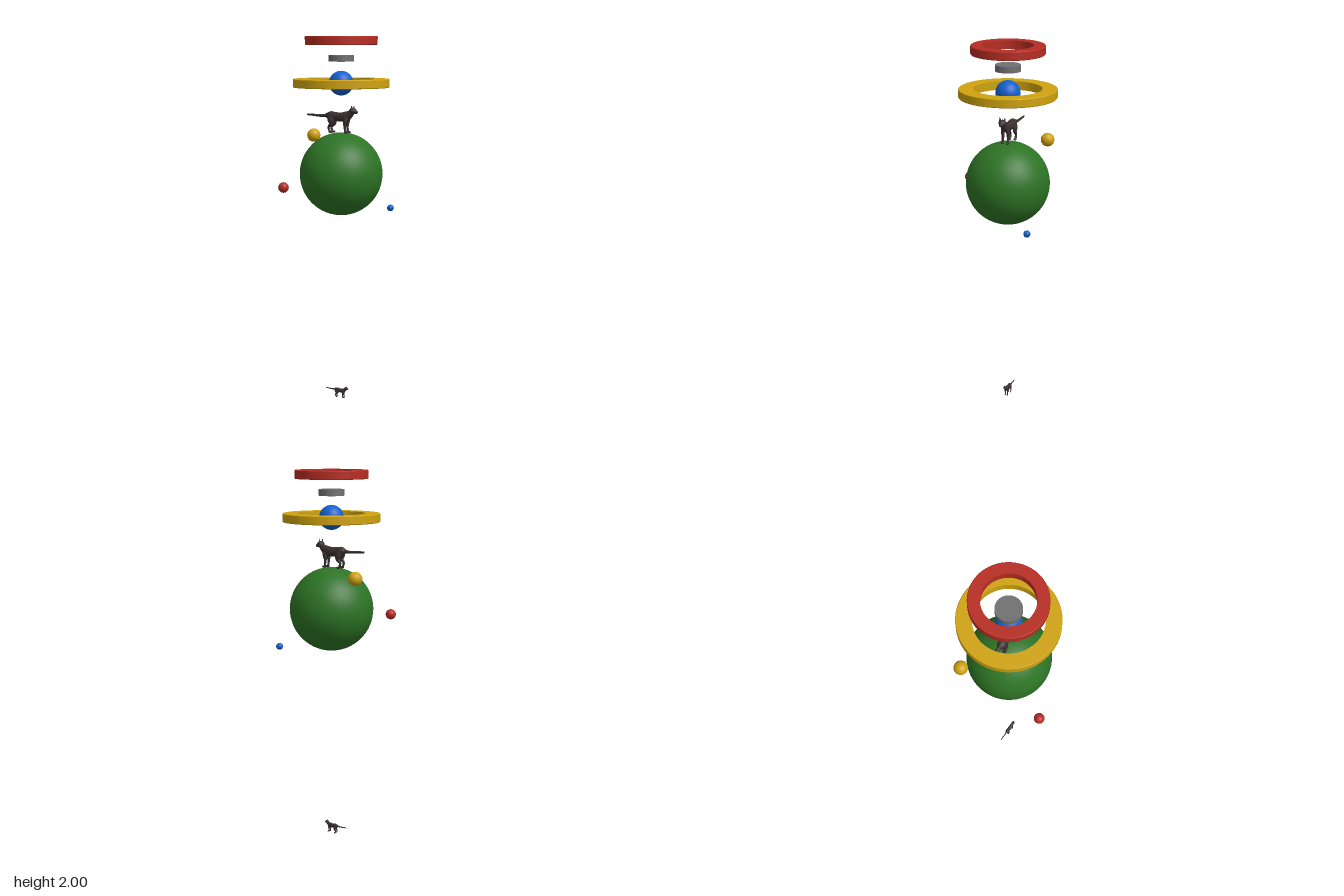
import * as THREE from 'three';
import { toCreasedNormals } from 'three/addons/utils/BufferGeometryUtils.js';

const mat = (name, color) => {
  const m = new THREE.MeshStandardMaterial({ color });
  m.name = name;
  return m;
};

// Smooth limb through sections [x, y, z, radius in the xy plane, radius along z]
function loft(sections, steps = 24, sides = 16) {
  const centre = new THREE.CatmullRomCurve3(sections.map(s => new THREE.Vector3(s[0], s[1], s[2])), false, 'catmullrom', 0.5);
  const radii = new THREE.CatmullRomCurve3(sections.map(s => new THREE.Vector3(s[3], s[4], 0)), false, 'catmullrom', 0.5);
  const pos = [], index = [];
  for (let i = 0; i <= steps; i++) {
    const c = centre.getPoint(i / steps), r = radii.getPoint(i / steps), t = centre.getTangent(i / steps);
    const len = Math.hypot(t.x, t.y) || 1;
    const nx = -t.y / len, ny = t.x / len;
    for (let j = 0; j < sides; j++) {
      const a = j / sides * Math.PI * 2;
      const u = Math.max(r.x, 0.0003) * Math.cos(a), w = Math.max(r.y, 0.0003) * Math.sin(a);
      pos.push(c.x + nx * u, c.y + ny * u, c.z + w);
      if (i < steps) {
        const k = (j + 1) % sides, p = i * sides, q = p + sides;
        index.push(p + j, p + k, q + j, p + k, q + k, q + j);
      }
    }
  }
  const geo = new THREE.BufferGeometry();
  geo.setAttribute('position', new THREE.Float32BufferAttribute(pos, 3));
  geo.setIndex(index);
  geo.computeVertexNormals();
  return geo;
}

// Flat ring with slightly softened edges; inner radius 0 gives a disc
function ringGeometry(inner, outer, height) {
  const h = height / 2, b = 0.003;
  const pts = inner > 0
    ? [[inner, -h], [outer - b, -h], [outer, -h + b], [outer, h - b], [outer - b, h], [inner, h], [inner, -h]]
    : [[0, -h], [outer, -h], [outer, h], [0, h]];
  return toCreasedNormals(new THREE.LatheGeometry(pts.map(p => new THREE.Vector2(...p)), 96), 0.5);
}

function createCat(name, material) {
  const cat = new THREE.Group();
  cat.name = name;
  const add = (part, geo) => {
    const m = new THREE.Mesh(geo, material);
    m.name = part;
    cat.add(m);
    return m;
  };

  // Trunk, rising into the neck
  add('body', loft([
    [-0.094, 0.094, 0, 0.001, 0.001], [-0.088, 0.094, 0, 0.014, 0.013],
    [-0.066, 0.092, 0, 0.025, 0.023], [-0.035, 0.089, 0, 0.024, 0.023],
    [0.000, 0.087, 0, 0.025, 0.024], [0.030, 0.091, 0, 0.027, 0.022],
    [0.052, 0.103, 0, 0.021, 0.017], [0.068, 0.116, 0, 0.014, 0.014], [0.074, 0.120, 0, 0.002, 0.002],
  ], 36));
  // Head with tapered muzzle
  add('head', loft([
    [0.052, 0.122, 0, 0.001, 0.001], [0.056, 0.122, 0, 0.012, 0.013], [0.068, 0.122, 0, 0.018, 0.021],
    [0.080, 0.120, 0, 0.016, 0.019], [0.090, 0.116, 0, 0.010, 0.011],
    [0.098, 0.114, 0, 0.007, 0.008], [0.101, 0.114, 0, 0.001, 0.001],
  ]));
  // Tail held out behind
  add('tail', loft([
    [-0.076, 0.098, 0, 0.013, 0.013], [-0.100, 0.093, 0, 0.009, 0.009], [-0.130, 0.091, 0, 0.007, 0.007],
    [-0.175, 0.094, 0, 0.006, 0.006], [-0.210, 0.096, 0, 0.005, 0.005], [-0.214, 0.096, 0, 0.001, 0.001],
  ]));

  for (const [side, s] of [['left', -1], ['right', 1]]) {
    const ear = add(side + 'Ear', new THREE.ConeGeometry(0.009, 0.026, 12));
    ear.scale.x = 0.65;
    ear.position.set(0.071, 0.141, s * 0.013);
    ear.rotation.x = s * 0.12;

    add(side + 'FrontLeg', loft([
      [0.034, 0.098, s * 0.011, 0.012, 0.009], [0.033, 0.070, s * 0.015, 0.013, 0.010],
      [0.030, 0.045, s * 0.015, 0.008, 0.008], [0.032, 0.020, s * 0.015, 0.006, 0.006],
      [0.033, 0.006, s * 0.015, 0.007, 0.007], [0.034, 0.001, s * 0.015, 0.002, 0.002],
    ]));
    add(side + 'HindLeg', loft([
      [-0.064, 0.098, s * 0.012, 0.016, 0.010], [-0.056, 0.072, s * 0.016, 0.019, 0.012],
      [-0.054, 0.050, s * 0.017, 0.012, 0.009], [-0.069, 0.032, s * 0.016, 0.007, 0.006],
      [-0.065, 0.014, s * 0.016, 0.006, 0.006], [-0.061, 0.005, s * 0.016, 0.007, 0.007],
      [-0.060, 0.001, s * 0.016, 0.002, 0.002],
    ]));
    // Paws
    for (const [end, x] of [['Front', 0.039], ['Hind', -0.056]]) {
      const paw = add(side + end + 'Paw', new THREE.SphereGeometry(1, 12, 8));
      paw.scale.set(0.012, 0.006, 0.008);
      paw.position.set(x, 0.006, s * 0.0155);
    }
  }
  return cat;
}

export function createModel() {
  const model = new THREE.Group();
  model.name = 'floatingSpheresAndCats';
  const red = mat('red', 0xb62d23), gold = mat('gold', 0xcfa30f), blue = mat('blue', 0x1160cc);
  const green = mat('green', 0x2d7325), grey = mat('grey', 0x707070), fur = mat('darkFur', 0x3a3031);
  const X = 0.01, Z = -0.04;

  const place = (name, geo, material, x, y, z) => {
    const m = new THREE.Mesh(geo, material);
    m.name = name;
    m.position.set(x, y, z);
    model.add(m);
  };
  const ball = r => new THREE.SphereGeometry(r, 48, 32);

  // Stack of rings and disc
  place('redRing', ringGeometry(0.134, 0.195, 0.046), red, X, 1.977, Z);
  place('greyDisc', ringGeometry(0, 0.068, 0.034), grey, X, 1.882, Z);
  place('goldRing', ringGeometry(0.18, 0.26, 0.046), gold, X, 1.75, Z);

  // Spheres
  place('blueCore', ball(0.066), blue, X, 1.75, Z);
  place('greenSphere', ball(0.225), green, X, 1.26, Z);
  place('goldSatellite', ball(0.037), gold, -0.237, 1.452, -0.166);
  place('redSatellite', ball(0.028), red, -0.165, 1.208, 0.271);
  place('blueSatellite', ball(0.0185), blue, 0.211, 1.062, -0.239);

  // Large cat on the sphere, small one on the ground
  const large = createCat('largeCat', fur);
  large.position.set(X, 1.481, Z);
  const small = createCat('smallCat', fur);
  small.scale.setScalar(0.455);
  small.position.set(X, 0, Z);
  model.add(large, small);
  return model;
}
